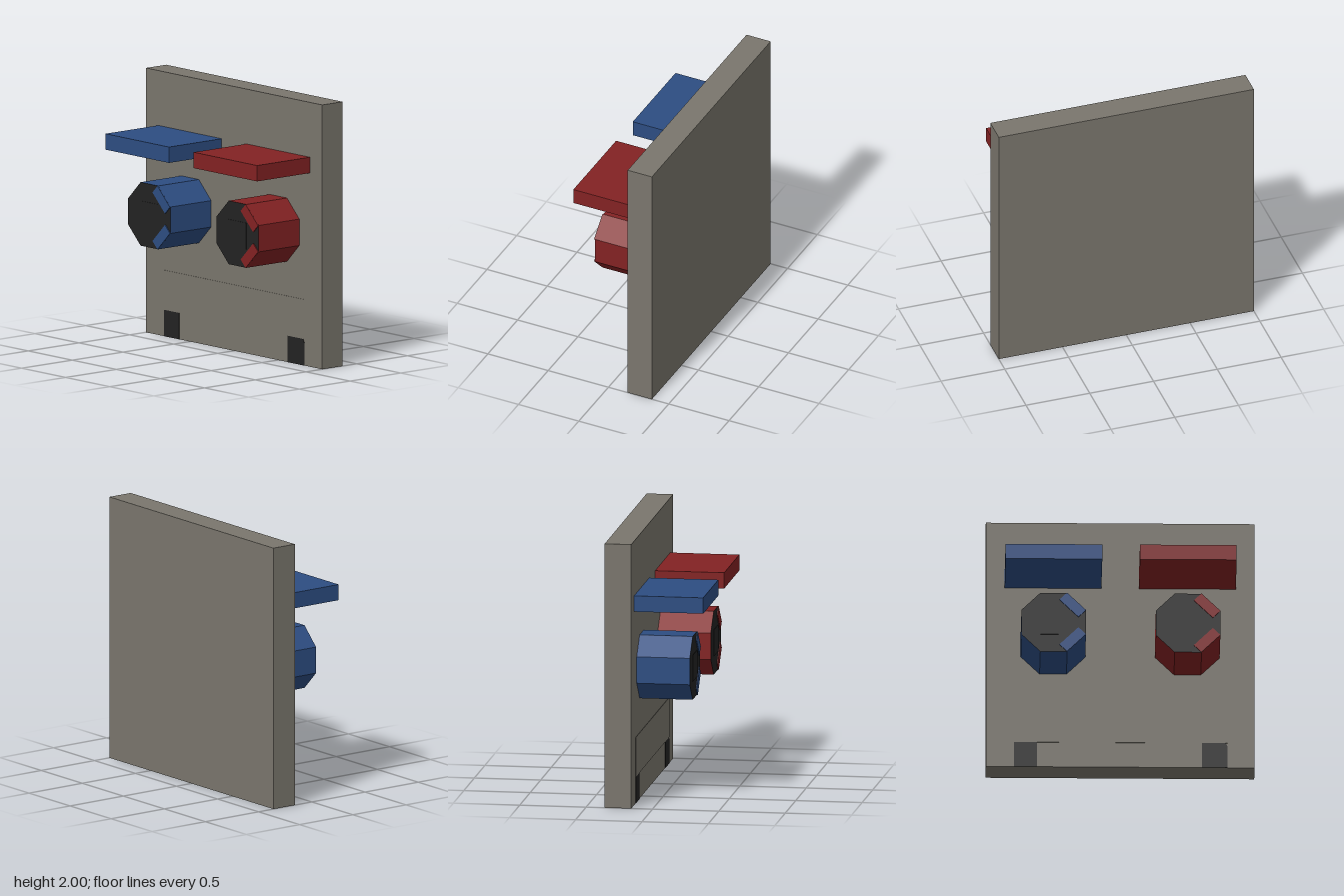
import * as THREE from 'three';

const mat = (name, color) => {
  const m = new THREE.MeshStandardMaterial({ color });
  m.name = name;
  return m;
};

export function createModel() {
  const root = new THREE.Group();
  root.name = 'wallFace';

  const grey = mat('warmGrey', 0x7a766d);
  const black = mat('black', 0x232323);
  const blue = mat('blue', 0x2d4d82);
  const red = mat('red', 0x832223);
  const wallZ = -0.16; // front surface of the wall panel

  const add = (parent, name, geometry, material, x, y, z) => {
    const mesh = new THREE.Mesh(geometry, material);
    mesh.name = name;
    mesh.position.set(x, y, z);
    parent.add(mesh);
    return mesh;
  };
  const box = (parent, name, [w, h, d], material, x, y, z) =>
    add(parent, name, new THREE.BoxGeometry(w, h, d), material, x, y, z);
  const prism = (points, depth) => new THREE.ExtrudeGeometry(
    new THREE.Shape(points.map(([x, y]) => new THREE.Vector2(x, y))),
    { depth, bevelEnabled: false });

  // Square wall panel
  box(root, 'wallPanel', [2, 2, 0.2], grey, 0, 1, wallZ - 0.1);

  // Octagon outline shared by both eyes
  const a = 0.24, s = 0.1;
  const octagon = [[a, -s], [a, s], [s, a], [-s, a], [-a, s], [-a, -s], [-s, -a], [s, -a]];

  for (const [label, x, colour] of [['right', -0.5, blue], ['left', 0.5, red]]) {
    // Brow shelf
    box(root, label + 'Brow', [0.72, 0.12, 0.52], colour, x, 1.525, wallZ + 0.26);

    // Eye barrel: coloured sides, black end
    const eye = new THREE.Group();
    eye.name = label + 'Eye';
    eye.position.set(x, 1, wallZ);
    root.add(eye);
    add(eye, 'eyeBarrel', prism(octagon, 0.4), [black, colour], 0, 0, 0);
    box(eye, 'pupil', [0.2, 0.2, 0.003], black, 0, 0, 0.4015);

    // Coloured strips along the two slanted edges on one side
    for (const side of [1, -1]) {
      const strip = box(eye, 'edgeStrip', [0.08, 0.2, 0.007], colour,
        0.2 * Math.SQRT1_2, side * 0.2 * Math.SQRT1_2, 0.4035);
      strip.rotation.z = side * Math.PI / 4;
    }
  }

  // Mouth plate and the two dark blocks below it
  box(root, 'mouthPlate', [1.6, 0.3, 0.003], grey, 0, 0.35, wallZ + 0.0015);
  box(root, 'rightTooth', [0.17, 0.2, 0.003], black, -0.705, 0.1, wallZ + 0.0015);
  add(root, 'leftTooth',
    prism([[0.61, 0], [0.8, 0], [0.8, 0.17], [0.785, 0.2], [0.61, 0.2]], 0.003),
    black, 0, 0, wallZ);

  return root;
}
